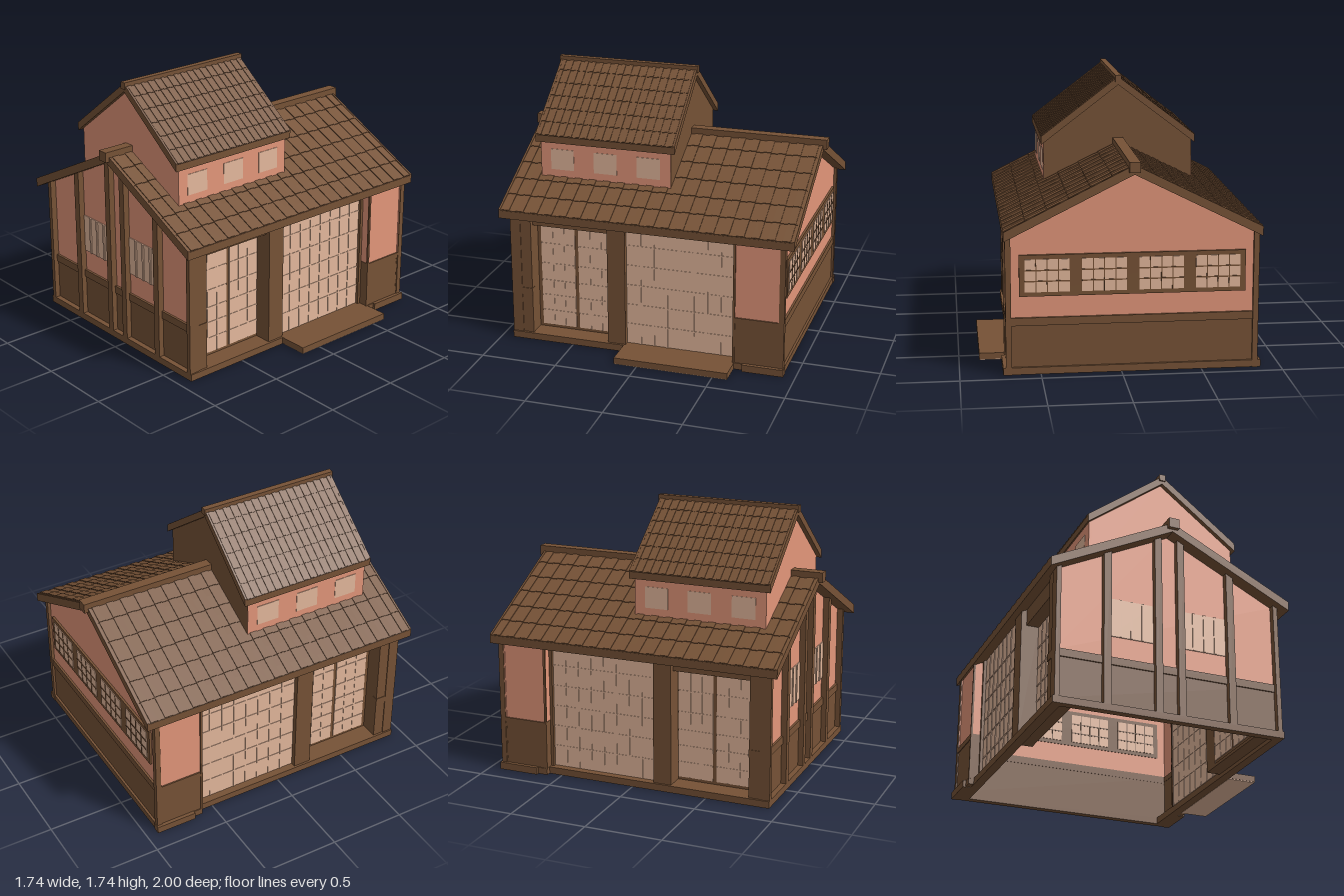
import * as THREE from 'three';
import { mergeGeometries } from 'three/addons/utils/BufferGeometryUtils.js';

export function createModel() {
  const mat = (name, color) => {
    const m = new THREE.MeshStandardMaterial({ color });
    m.name = name;
    return m;
  };
  const wood = mat('brown timber', 0x765236);
  const plaster = mat('terracotta plaster', 0xe3967a);
  const paper = mat('cream paper', 0xe4b89c);

  const model = new THREE.Group();
  model.name = 'house';
  const house = new THREE.Group(); // mirrored about the ridge line
  house.name = 'building';
  house.position.x = -0.07;
  model.add(house);

  const add = (name, geo, m) => {
    const mesh = new THREE.Mesh(geo, m);
    mesh.name = name;
    house.add(mesh);
  };
  // box given by its limits
  const box = (name, m, x0, x1, y0, y1, z0, z1) => {
    const g = new THREE.BoxGeometry(Math.abs(x1 - x0), y1 - y0, z1 - z0);
    g.translate((x0 + x1) / 2, (y0 + y1) / 2, (z0 + z1) / 2);
    add(name, g, m);
  };
  // upright outline in x and y, extruded from z0 to z1
  const slab = (name, m, pts, z0, z1) => {
    const shape = new THREE.Shape(pts.map(([x, y]) => new THREE.Vector2(x, y)));
    const g = new THREE.ExtrudeGeometry(shape, { depth: z1 - z0, bevelEnabled: false });
    g.translate(0, 0, z0);
    add(name, g, m);
  };
  const gable = (name, m, half, y0, eave, peak, z0, z1) =>
    slab(name, m, [[-half, y0], [half, y0], [half, eave], [0, peak], [-half, eave]], z0, z1);

  // roof shell with verge boards, courses and cover tiles running down the slope
  const roof = (name, half, peak, slope, thick, z0, z1, courses, ribs, ribW) => {
    const top = peak - 0.008;
    const chevron = (part, t, a, b) => {
      const e = t - slope * half, low = top - thick;
      slab(name + part, wood, [[-half, low - slope * half], [0, low], [half, low - slope * half],
        [half, e], [0, t], [-half, e]], a, b);
    };
    chevron('Shell', top, z0, z1);
    chevron('Verge', peak, z0 - 0.001, z0 + 0.012);
    chevron('Verge', peak, z1 - 0.012, z1 + 0.001);
    const angle = Math.atan(slope), step = half / courses, len = step / Math.cos(angle);
    const pitch = (z1 - z0) / ribs;
    for (const s of [-1, 1]) {
      const parts = [];
      const tile = (u, w, h, z, lift) => {
        const g = new THREE.BoxGeometry(len * 0.985, h, w);
        g.rotateZ(-s * (angle - 0.02));
        g.translate(s * u, top - slope * u + lift, z);
        parts.push(g);
      };
      for (let i = 0; i < courses; i++) {
        const u = (i + 0.5) * step;
        tile(u, z1 - z0 - 0.02, 0.006, (z0 + z1) / 2, 0);
        for (let k = 0; k < ribs; k++) tile(u, ribW, 0.01, z0 + (k + 0.5) * pitch, 0.003);
      }
      add(name + 'Tiles', mergeGeometries(parts), wood);
    }
  };

  // sill frame and porch step
  for (const s of [-1, 1]) {
    box('sideSill', wood, s * 0.69, s * 0.75, 0, 0.045, -0.92, 0.92);
    box('rearBaySill', wood, s * 0.69, s * 0.785, 0.002, 0.045, -0.66, -0.59);
    box('rearSillBlock', wood, s * 0.75, s * 0.803, 0, 0.047, -0.925, -0.655);
    box('doorThreshold', wood, s * 0.6, s * 0.7, 0.025, 0.045, 0.14, 0.86);
    box('endSill', wood, -0.7, 0.7, 0, 0.045, s > 0 ? 0.87 : -0.92, s > 0 ? 0.92 : -0.87);
  }
  box('porchStep', wood, 0.75, 0.942, 0.005, 0.045, -0.6, 0.15);
  box('porchUnderside', paper, 0.752, 0.94, 0, 0.005, -0.598, 0.148);

  // gable end walls with timber dado; the rear is wider than the front
  gable('frontWall', plaster, 0.738, 0.35, 0.905, 1.275, 0.86, 0.88);
  gable('backWall', plaster, 0.78, 0.35, 0.885, 1.275, -0.9, -0.88);
  box('frontDado', wood, -0.738, 0.738, 0.04, 0.355, 0.858, 0.885);
  box('frontDadoRail', wood, -0.738, 0.738, 0.31, 0.36, 0.856, 0.895);
  box('backDado', wood, -0.78, 0.78, 0.04, 0.355, -0.905, -0.878);
  box('backDadoRail', wood, -0.78, 0.78, 0.31, 0.36, -0.914, -0.876);

  for (const s of [-1, 1]) {
    // front posts and window
    for (const [u, w] of [[0.725, 0.03], [0.41, 0.048], [0.075, 0.046]]) {
      box('frontPost', wood, s * (u - w / 2), s * (u + w / 2), 0.04, 1.28 - 0.5 * u, 0.85, 0.92);
    }
    box('frontWindow', paper, s * 0.1, s * 0.385, 0.5, 0.75, 0.854, 0.886);
    for (const u of [0.17, 0.243, 0.315]) {
      box('frontWindowBar', paper, s * (u - 0.008), s * (u + 0.008), 0.5, 0.75, 0.85, 0.892);
    }

    // side: deeply recessed double doors between timber panels
    box('frontSidePanel', wood, s * 0.6, s * 0.735, 0.04, 0.91, 0.78, 0.862);
    box('frontSideRail', wood, s * 0.7, s * 0.739, 0.31, 0.36, 0.778, 0.862);
    box('doorColumn', wood, s * 0.6, s * 0.735, 0.04, 0.91, 0.14, 0.26);
    box('doorLintel', wood, s * 0.6, s * 0.7, 0.79, 0.92, 0.25, 0.79);
    box('doorFrame', wood, s * 0.605, s * 0.616, 0.04, 0.8, 0.25, 0.79);
    for (const [z0, z1] of [[0.265, 0.498], [0.522, 0.755]]) {
      box('doorPane', paper, s * 0.6, s * 0.622, 0.065, 0.785, z0, z1);
      for (const y of [0.165, 0.275, 0.38, 0.5, 0.64]) {
        box('doorBar', paper, s * 0.597, s * 0.625, y - 0.005, y + 0.005, z0, z1);
      }
      for (let k = 1; k < 3; k++) {
        const z = z0 + (z1 - z0) * k / 3;
        box('doorBar', paper, s * 0.597, s * 0.625, 0.065, 0.785, z - 0.005, z + 0.005);
      }
    }

    // side: large lattice screen
    box('screen', paper, s * 0.685, s * 0.7, 0.04, 0.92, -0.58, 0.14);
    for (let k = 1; k < 8; k++) {
      const z = -0.575 + 0.71 * k / 8;
      box('screenUpright', paper, s * 0.682, s * 0.704, 0.045, 0.92, z - 0.005, z + 0.005);
    }
    for (let k = 1; k < 6; k++) {
      const y = 0.045 + 0.815 * k / 6;
      box('screenRail', paper, s * 0.682, s * 0.703, y - 0.005, y + 0.005, -0.575, 0.135);
    }
    box('screenPost', wood, s * 0.68, s * 0.72, 0.04, 0.91, -0.592, -0.572);

    // side: projecting plastered rear bay with a return wall facing forward
    box('rearBay', plaster, s * 0.755, s * 0.775, 0.35, 0.885, -0.89, -0.595);
    box('rearBayReturn', plaster, s * 0.69, s * 0.775, 0.35, 0.885, -0.615, -0.595);
    box('rearBayDado', wood, s * 0.752, s * 0.779, 0.04, 0.355, -0.89, -0.593);
    box('rearBayReturnDado', wood, s * 0.69, s * 0.779, 0.04, 0.357, -0.617, -0.592);
    box('rearBayRail', wood, s * 0.75, s * 0.784, 0.32, 0.357, -0.89, -0.591);
    box('rearBayPost', wood, s * 0.772, s * 0.785, 0.04, 0.885, -0.602, -0.588);
    box('backCornerPost', wood, s * 0.75, s * 0.785, 0.04, 0.89, -0.92, -0.885);

    // upper side wall and its windows
    box('upperSideWall', plaster, s * 0.47, s * 0.489, 1.0, 1.34, -0.09, 0.79);
    for (const z of [0.643, 0.35, 0.058]) {
      box('upperWindow', paper, s * 0.486, s * 0.492, 1.112, 1.25, z - 0.078, z + 0.078);
    }
  }

  // row of back windows in a timber band
  box('backWindowBand', wood, -0.7, 0.7, 0.495, 0.755, -0.915, -0.876);
  for (let i = 0; i < 4; i++) {
    const c = (i - 1.5) * 0.352, h = 0.138;
    box('backWindow', paper, c - h, c + h, 0.522, 0.728, -0.919, -0.872);
    for (const d of [-0.069, 0, 0.069]) {
      box('backWindowUpright', wood, c + d - 0.003, c + d + 0.003, 0.522, 0.728, -0.922, -0.87);
    }
    for (const y of [0.591, 0.659]) {
      box('backWindowRail', wood, c - h, c + h, y - 0.004, y + 0.004, -0.922, -0.87);
    }
  }

  // main roof and ridge
  roof('mainRoof', 0.795, 1.31, 0.5, 0.052, -0.972, 0.972, 6, 20, 0.05);
  box('mainRidge', wood, -0.034, 0.034, 1.265, 1.33, -1, 1);

  // raised upper storey
  gable('upperFrontWall', plaster, 0.487, 1.0, 1.33, 1.695, 0.77, 0.79);
  gable('upperBackWall', wood, 0.487, 1.0, 1.33, 1.695, -0.091, -0.071);
  roof('upperRoof', 0.505, 1.735, 0.765, 0.046, -0.12, 0.82, 6, 18, 0.026);
  box('upperRidge', wood, -0.02, 0.02, 1.7, 1.744, -0.13, 0.83);

  return model;
}
